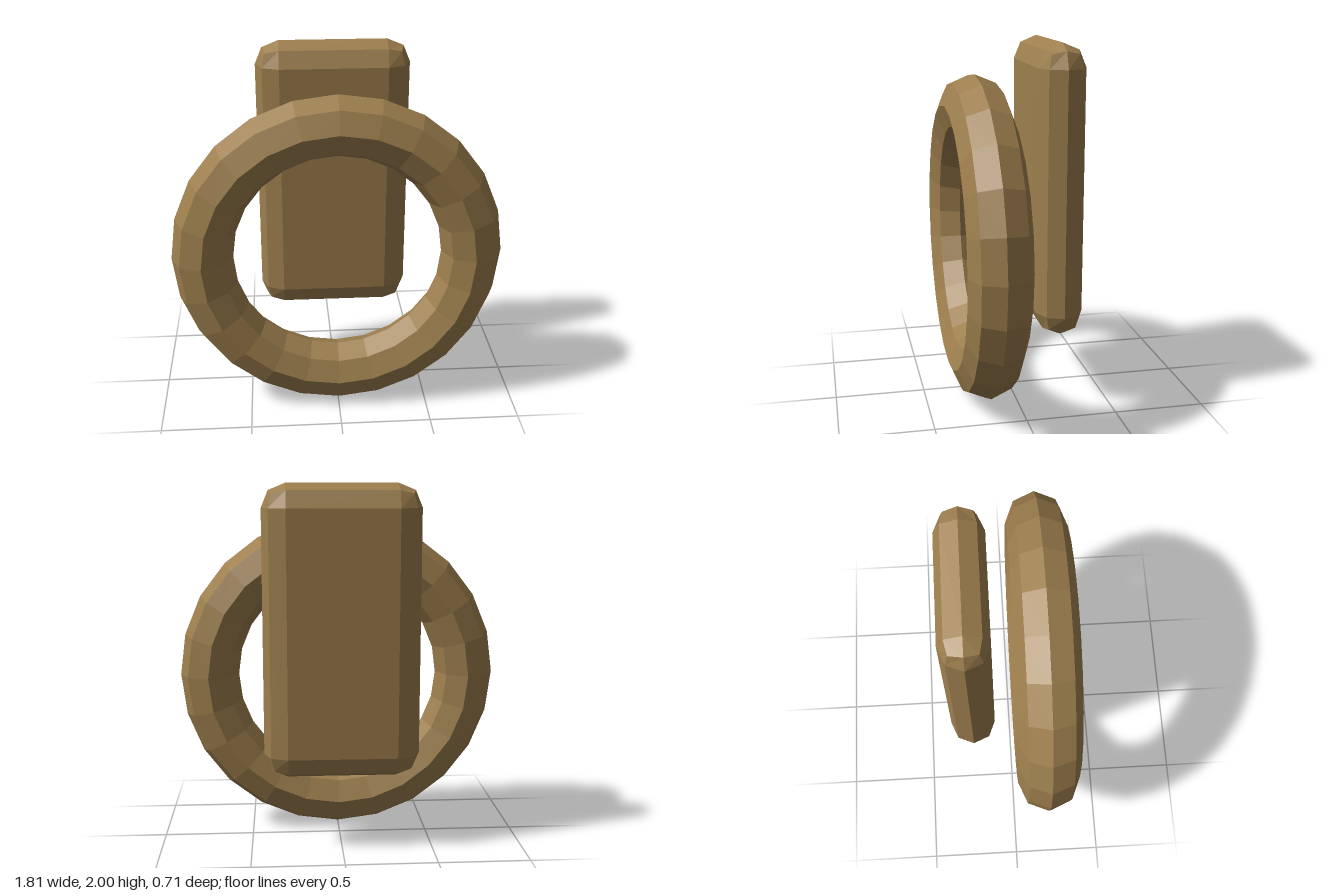
import * as THREE from 'three';
import { RoundedBoxGeometry } from 'three/addons/geometries/RoundedBoxGeometry.js';

export function createModel() {
  const group = new THREE.Group();
  const bronze = new THREE.MeshStandardMaterial({ color: 0x9e7f4e, flatShading: true });
  bronze.name = 'bronze';

  const add = (name, geometry, x, y, z) => {
    const mesh = new THREE.Mesh(geometry, bronze);
    mesh.name = name;
    mesh.position.set(x, y, z);
    group.add(mesh);
  };

  // Upright ring with an octagonal section
  add('ring', new THREE.TorusGeometry(0.739, 0.167, 8, 24), 0, 0.91, 0.187);

  // Mounting plate behind the ring, its chamfers as wide as half its depth
  add('backPlate', new RoundedBoxGeometry(0.85, 1.588, 0.258, 1, 0.129), 0, 1.206, -0.223);

  return group;
}
